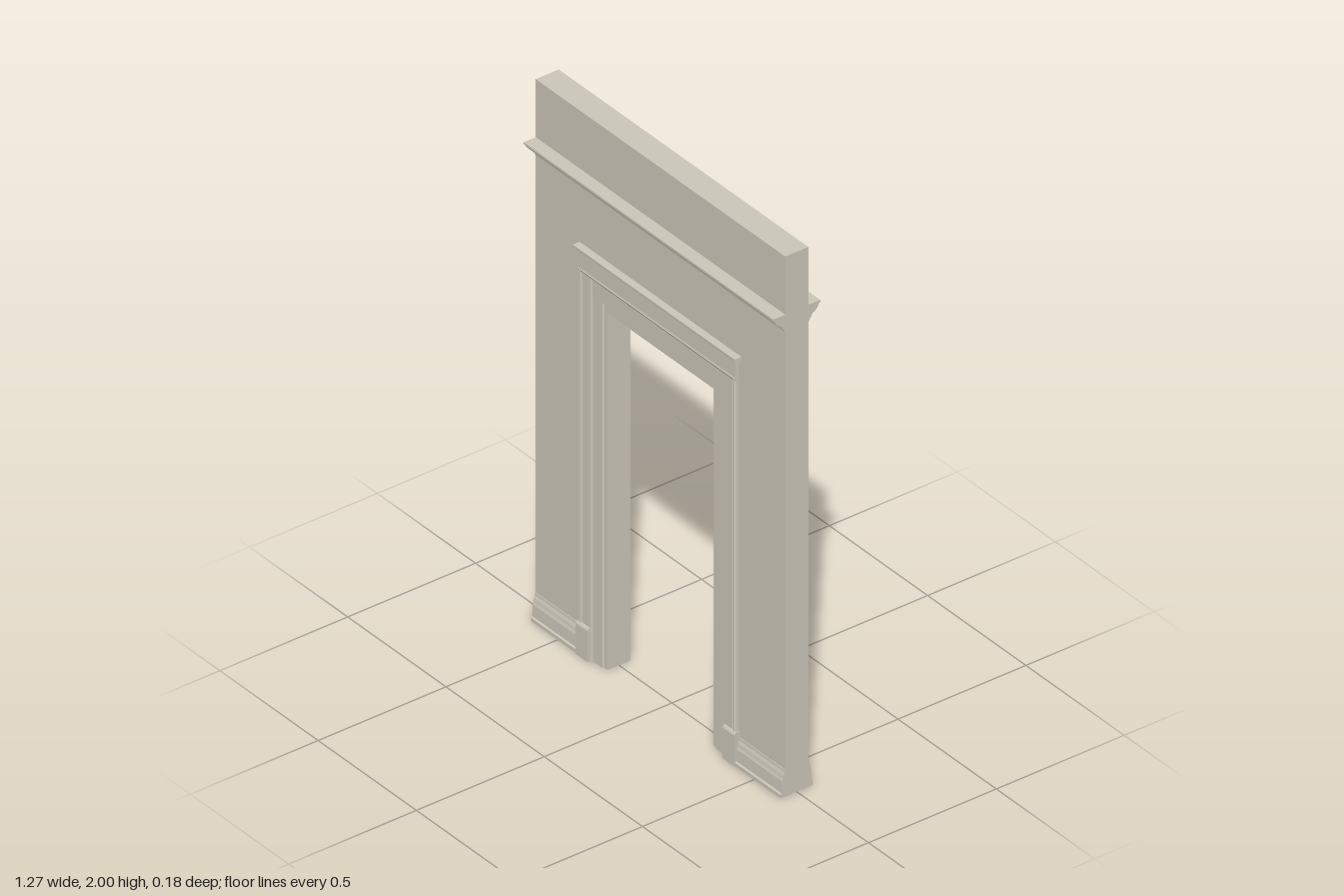
import * as THREE from 'three';

const W = 0.635;        // half width of the wall
const T = 0.045;        // half thickness of the wall
const IN = 0.03;        // depth at which trim is buried in the wall

const stone = new THREE.MeshStandardMaterial({ color: 0xcac5b8 });
stone.name = 'warm stone';

function outline(points) {
  return new THREE.Shape(points.map(([a, b]) => new THREE.Vector2(a, b)));
}

function mesh(name, geometry) {
  const m = new THREE.Mesh(geometry, stone);
  m.name = name;
  return m;
}

// Profile of [z, y] points run along x from x0 to x1
function horizontal(name, profile, x0, x1) {
  const g = new THREE.ExtrudeGeometry(outline(profile), { depth: x1 - x0, bevelEnabled: false });
  g.rotateY(-Math.PI / 2).translate(x1, 0, 0);
  return mesh(name, g);
}

// Profile of [x, z] points run up from y0 to y1
function vertical(name, profile, y0, y1) {
  const g = new THREE.ExtrudeGeometry(outline(profile.map(([x, z]) => [x, -z])), { depth: y1 - y0, bevelEnabled: false });
  g.rotateX(-Math.PI / 2).translate(0, y0, 0);
  return mesh(name, g);
}

// All trim on one face of the wall
function createTrim(name) {
  const trim = new THREE.Group();
  trim.name = name;

  // Crown moulding across the full width
  trim.add(horizontal('crownMoulding', [
    [IN, 1.722], [0.048, 1.722], [0.05, 1.733], [0.056, 1.736], [0.058, 1.744],
    [0.066, 1.75], [0.076, 1.757], [0.083, 1.765], [0.086, 1.773], [0.092, 1.778],
    [0.092, 1.785], [IN, 1.785],
  ], -W, W));

  // Door head: lower architrave, frieze and cap
  trim.add(horizontal('headArchitrave',
    [[IN, 1.355], [0.053, 1.355], [0.053, 1.425], [IN, 1.425]], -0.345, 0.345));
  trim.add(horizontal('headFrieze',
    [[IN, 1.42], [0.058, 1.42], [0.062, 1.428], [0.06, 1.435], [0.06, 1.502], [IN, 1.502]], -0.4, 0.4));
  trim.add(horizontal('headCap',
    [[IN, 1.497], [0.064, 1.497], [0.071, 1.503], [0.072, 1.513], [IN, 1.513]], -0.412, 0.412));

  for (const s of [-1, 1]) {
    const side = s < 0 ? 'right' : 'left';
    const span = (a, b) => (s < 0 ? [-b, -a] : [a, b]);
    const mirror = (points) => points.map(([x, z]) => [s * x, z]);

    // Inner jamb strip beside the opening
    trim.add(vertical(side + 'JambStrip', mirror([
      [0.284, IN], [0.284, 0.046], [0.29, 0.05], [0.334, 0.05], [0.338, 0.046], [0.338, IN],
    ]), 0, 1.356));

    // Casing with a raised outer band
    trim.add(vertical(side + 'Casing', mirror([
      [0.336, IN], [0.336, 0.053], [0.341, 0.056], [0.38, 0.056], [0.384, 0.053],
      [0.387, 0.053], [0.389, 0.061], [0.396, 0.061], [0.4, 0.056], [0.4, IN],
    ]), 0, 1.422));

    // Plinth block
    trim.add(horizontal(side + 'Plinth',
      [[IN, 0], [0.067, 0], [0.067, 0.115], [0.063, 0.122], [IN, 0.122]], ...span(0.343, 0.404)));

    // Baseboard
    trim.add(horizontal(side + 'Baseboard', [
      [IN, 0], [0.064, 0], [0.064, 0.013], [0.059, 0.017], [0.057, 0.06], [0.054, 0.068],
      [0.052, 0.08], [0.048, 0.09], [0.047, 0.1], [IN, 0.1],
    ], ...span(0.4, W)));
  }
  return trim;
}

export function createModel() {
  const model = new THREE.Group();
  model.name = 'doorwayWall';

  // Wall panel with the door opening cut up from the floor
  const wall = new THREE.ExtrudeGeometry(outline([
    [-W, 0], [-0.27, 0], [-0.27, 1.322], [0.27, 1.322], [0.27, 0], [W, 0], [W, 2], [-W, 2],
  ]), { depth: 2 * T, bevelEnabled: false });
  wall.translate(0, 0, -T);
  model.add(mesh('wall', wall));

  // The same trim on both faces
  const back = createTrim('backTrim');
  back.rotation.y = Math.PI;
  model.add(createTrim('frontTrim'), back);
  return model;
}
